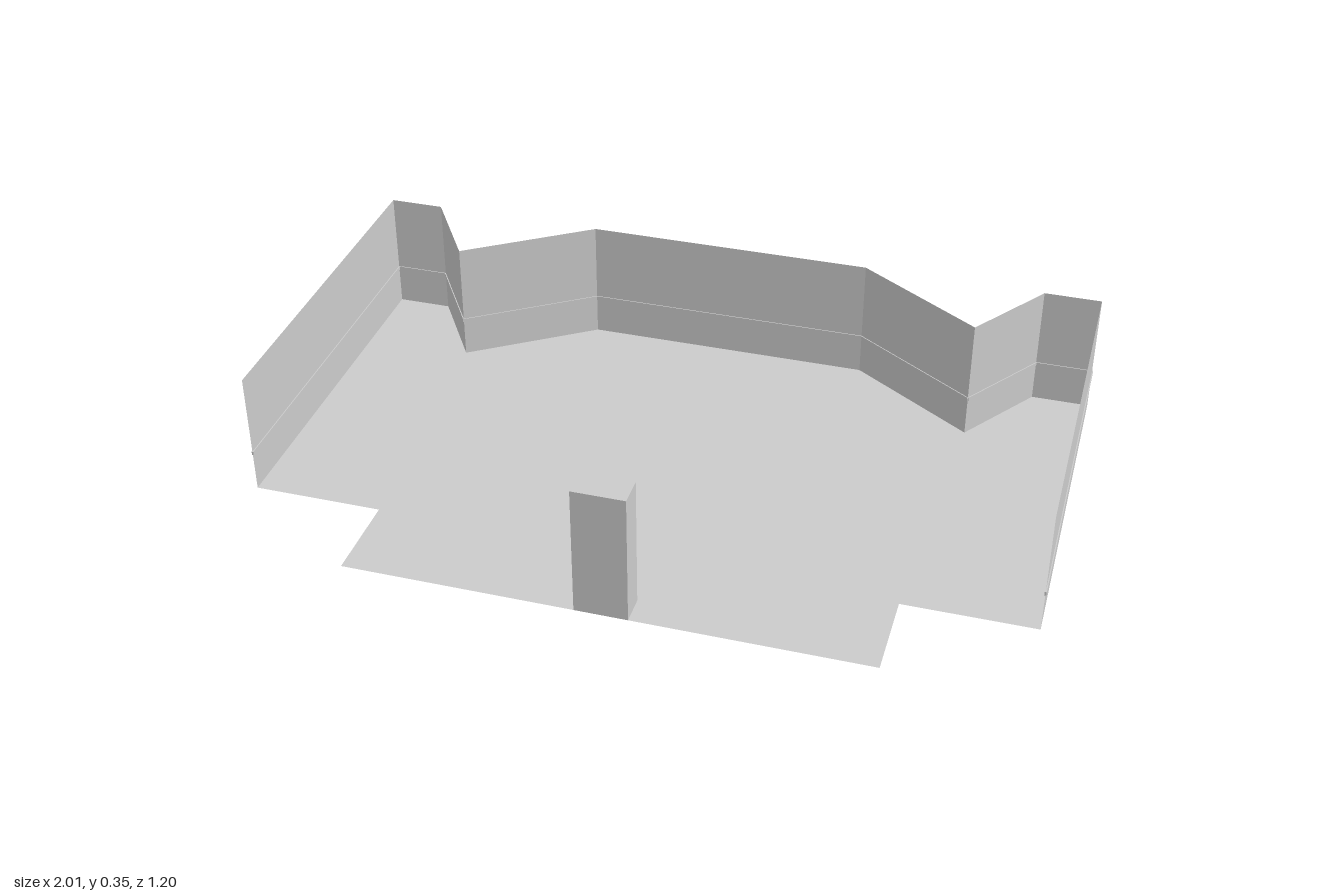
import * as THREE from 'three';

const material = new THREE.MeshStandardMaterial({ color: 0xcccccc, flatShading: true, side: THREE.DoubleSide });

function addMesh(parent, name, geometry) {
  const mesh = new THREE.Mesh(geometry, material);
  mesh.name = name;
  parent.add(mesh);
  return mesh;
}

// Flat outline given as [x, z] pairs, facing up
function flatPanel(points) {
  const shape = new THREE.Shape(points.map(([x, z]) => new THREE.Vector2(x, -z)));
  return new THREE.ShapeGeometry(shape).rotateX(-Math.PI / 2);
}

// Calls makeGeometry(length) for each stretch of a plan path and stands it there
function alongPath(parent, name, path, y, makeGeometry) {
  const group = new THREE.Group();
  group.name = name;
  for (let i = 0; i < path.length - 1; i++) {
    const [ax, az] = path[i];
    const [bx, bz] = path[i + 1];
    const piece = addMesh(group, name + 'Section', makeGeometry(Math.hypot(bx - ax, bz - az)));
    piece.position.set((ax + bx) / 2, y, (az + bz) / 2);
    piece.rotation.y = Math.atan2(az - bz, bx - ax);
  }
  parent.add(group);
}

export function createModel() {
  const model = new THREE.Group();
  model.name = 'walledPlatform';

  const wallHeight = 0.33;
  const wallPath = [
    [1, 0.165], [1, -0.8], [0.85, -0.8], [0.7, -0.58], [0.37, -0.8],
    [-0.395, -0.8], [-0.715, -0.58], [-0.855, -0.8], [-1, -0.8], [-1, 0.165],
  ];
  const pillar = { left: 0.065, right: -0.07, back: 0.325, front: 0.4, height: 0.35 };

  // Thin floor, cut out beneath the pillar
  addMesh(model, 'floor', flatPanel([
    ...wallPath,
    [-0.665, 0.165], [-0.665, 0.4],
    [pillar.right, pillar.front], [pillar.right, pillar.back],
    [pillar.left, pillar.back], [pillar.left, pillar.front],
    [0.665, 0.4], [0.665, 0.165],
  ]));

  // Thin walls around the sides and back
  alongPath(model, 'wall', wallPath, wallHeight / 2,
    (length) => new THREE.PlaneGeometry(length, wallHeight));

  // Fine rail line running along both faces of the walls
  alongPath(model, 'wallRail', wallPath, 0.108,
    (length) => new THREE.BoxGeometry(length, 0.01, 0.005));

  // Hollow pillar at the front edge
  const corners = [
    [pillar.right, pillar.front], [pillar.left, pillar.front],
    [pillar.left, pillar.back], [pillar.right, pillar.back],
  ];
  alongPath(model, 'pillar', [...corners, corners[0]], pillar.height / 2,
    (length) => new THREE.PlaneGeometry(length, pillar.height));
  addMesh(model, 'pillarTop', flatPanel(corners)).position.y = pillar.height;

  return model;
}
